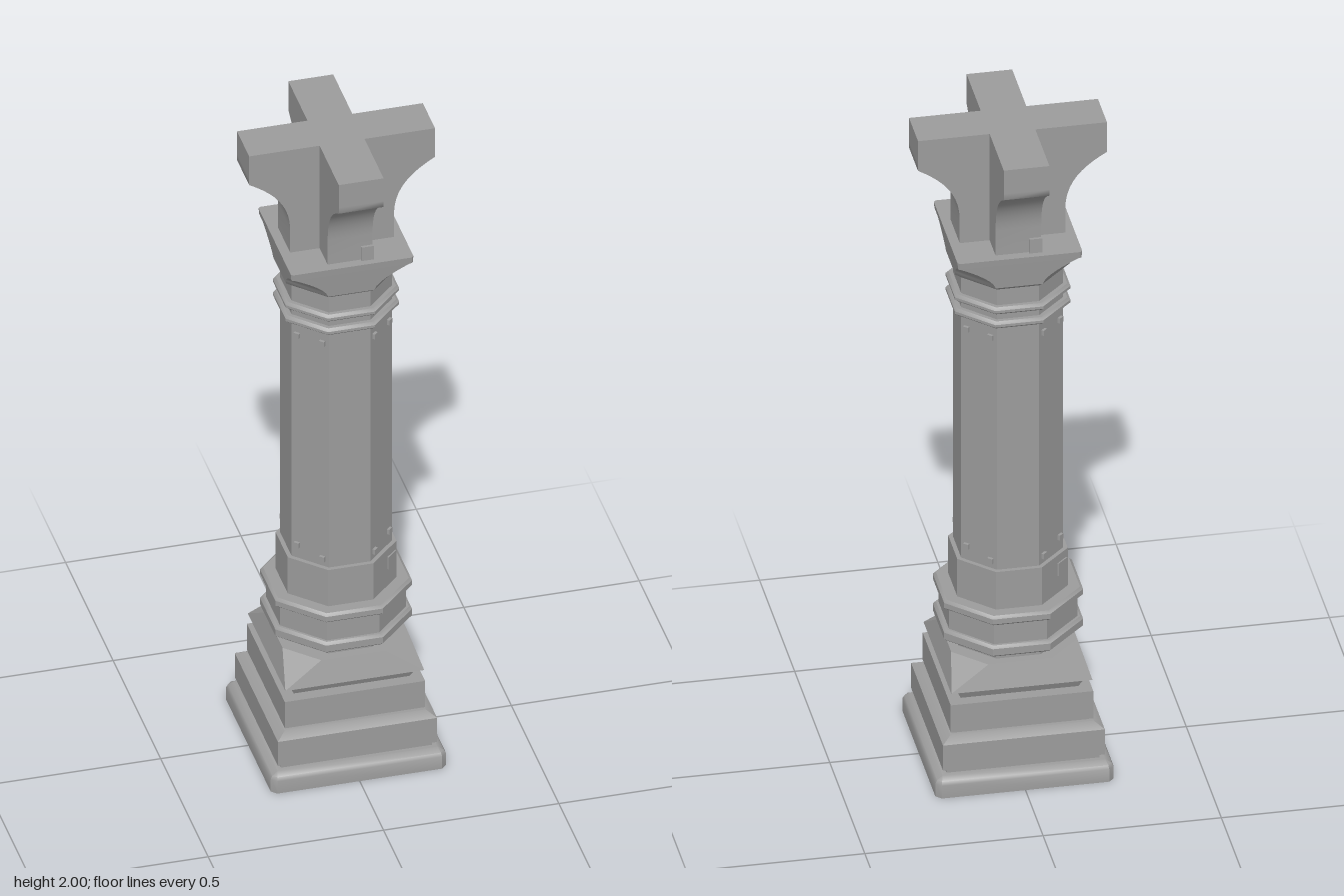
import * as THREE from 'three';
import { toCreasedNormals } from 'three/addons/utils/BufferGeometryUtils.js';

const K = Math.tan(Math.PI / 8);
const mat = new THREE.MeshStandardMaterial({ color: 0x9c9c9c, side: THREE.DoubleSide });

// Skin between eight-sided sections [y, half width, half length of main side].
// A missing side length gives a regular octagon; side = half width gives a square.
function loft(name, sections) {
  const pos = [], index = [];
  for (const [y, h, s = h * K] of sections) {
    for (const [x, z] of [[h, s], [s, h], [-s, h], [-h, s], [-h, -s], [-s, -h], [s, -h], [h, -s]]) pos.push(x, y, z);
  }
  for (let i = 0; i < sections.length - 1; i++) {
    for (let j = 0; j < 8; j++) {
      const a = i * 8 + j, b = i * 8 + (j + 1) % 8, c = b + 8, d = a + 8;
      index.push(a, d, c, a, c, b);
    }
  }
  const g = new THREE.BufferGeometry();
  g.setAttribute('position', new THREE.Float32BufferAttribute(pos, 3));
  g.setIndex(index);
  const m = new THREE.Mesh(toCreasedNormals(g, 0.6), mat);
  m.name = name;
  return m;
}

const sq = (y, h) => [y, h, h];

// Bevelled octagonal moulding
const ring = (name, y0, y1, r, inner) => loft(name, [
  [y0, inner], [y0, r - 0.008], [y0 + 0.007, r], [y1 - 0.007, r], [y1, r - 0.008], [y1, inner]]);

export function createModel() {
  const model = new THREE.Group();
  model.name = 'column';

  // Hollow foot with clipped corners and a rounded top edge
  model.add(loft('foot', [
    [0, 0.25, 0.235], [0.04, 0.25, 0.235], [0.05, 0.245, 0.233], [0.06, 0.228, 0.228], [0.06, 0.21, 0.21]]));

  // Stepped square plinths
  model.add(loft('lowerPlinth', [
    sq(0.06, 0), sq(0.06, 0.215), sq(0.075, 0.215), sq(0.075, 0.227), sq(0.155, 0.227),
    sq(0.171, 0.201), sq(0.171, 0.19), sq(0.178, 0.19)]));
  model.add(loft('upperPlinth', [
    sq(0.178, 0.18), sq(0.178, 0.2), sq(0.265, 0.2), sq(0.265, 0)]));

  // Overhanging slope turning the square into an octagon
  model.add(loft('slope', [
    sq(0.265, 0.165), sq(0.297, 0.18), sq(0.30, 0.198), [0.37, 0.177, 0.09], [0.37, 0.14]]));

  // Octagonal base drums, shaft and neck
  model.add(loft('baseDrum', [
    [0.37, 0.15], [0.43, 0.15], [0.43, 0.18], [0.51, 0.18], [0.51, 0.155], [0.65, 0.155], [0.65, 0.14]]));
  model.add(loft('shaft', [[0.65, 0.143], [1.55, 0.143]]));
  model.add(ring('lowerCollar', 0.40, 0.435, 0.195, 0.145));
  model.add(ring('upperCollar', 0.50, 0.53, 0.195, 0.15));
  model.add(ring('lowerNeckRing', 1.43, 1.452, 0.162, 0.14));
  model.add(ring('upperNeckRing', 1.475, 1.497, 0.162, 0.14));

  // Capital: octagon whose corners sweep out to a square slab
  const flare = [[1.545, 0.14]];
  for (let i = 0; i <= 6; i++) {
    const t = i / 6;
    flare.push([1.562 + 0.078 * t, 0.161 + 0.009 * t, 0.066 + 0.104 * t ** 1.6]);
  }
  model.add(loft('capital', [...flare, [1.64, 0.173, 0.169], [1.66, 0.175, 0.169], [1.66, 0, 0]]));

  // Crossed brackets with smooth concave undersides
  const shape = new THREE.Shape();
  shape.moveTo(-0.148, 1.66);
  shape.lineTo(0.148, 1.66);
  shape.lineTo(0.148, 1.74);
  shape.bezierCurveTo(0.15, 1.82, 0.195, 1.865, 0.265, 1.905);
  shape.lineTo(0.265, 1.925);
  shape.lineTo(0.265, 2);
  shape.lineTo(-0.265, 2);
  shape.lineTo(-0.265, 1.925);
  shape.lineTo(-0.265, 1.905);
  shape.bezierCurveTo(-0.195, 1.865, -0.15, 1.82, -0.148, 1.74);
  const extruded = new THREE.ExtrudeGeometry(shape, { depth: 0.128, bevelEnabled: false, curveSegments: 10 });
  extruded.translate(0, 0, -0.064);
  const bar = toCreasedNormals(extruded, 1.2);
  for (let i = 0; i < 2; i++) {
    const m = new THREE.Mesh(bar, mat);
    m.name = 'bracket';
    m.rotation.y = i * Math.PI / 2;
    model.add(m);
  }

  // Small fittings on the diagonal faces and bracket ends
  const addBox = (parent, name, w, h, d, x, y, z) => {
    const m = new THREE.Mesh(new THREE.BoxGeometry(w, h, d), mat);
    m.name = name;
    m.position.set(x, y, z);
    parent.add(m);
  };
  for (let i = 0; i < 4; i++) {
    const diagonal = new THREE.Group();
    diagonal.name = 'cornerFittings';
    diagonal.rotation.y = Math.PI / 4 + i * Math.PI / 2;
    const low = i % 2 ? 1 : -1;
    for (const side of [-1, 1]) {
      addBox(diagonal, 'rivet', 0.016, 0.016, 0.016, side * 0.04, 1.39, 0.143);
      addBox(diagonal, 'rivet', 0.016, 0.016, 0.016, side * 0.04, side === low ? 0.675 : 0.695, 0.143);
    }
    if (i % 2 === 0) addBox(diagonal, 'drumPlate', 0.042, 0.04, 0.01, 0.035, 0.605, 0.154);
    model.add(diagonal);
  }
  for (let i = 0; i < 2; i++) {
    const end = new THREE.Group();
    end.name = 'bracketFittings';
    end.rotation.y = i * Math.PI;
    addBox(end, 'bracketPlate', 0.035, 0.045, 0.014, 0.048, 1.682, 0.149);
    model.add(end);
  }
  return model;
}
